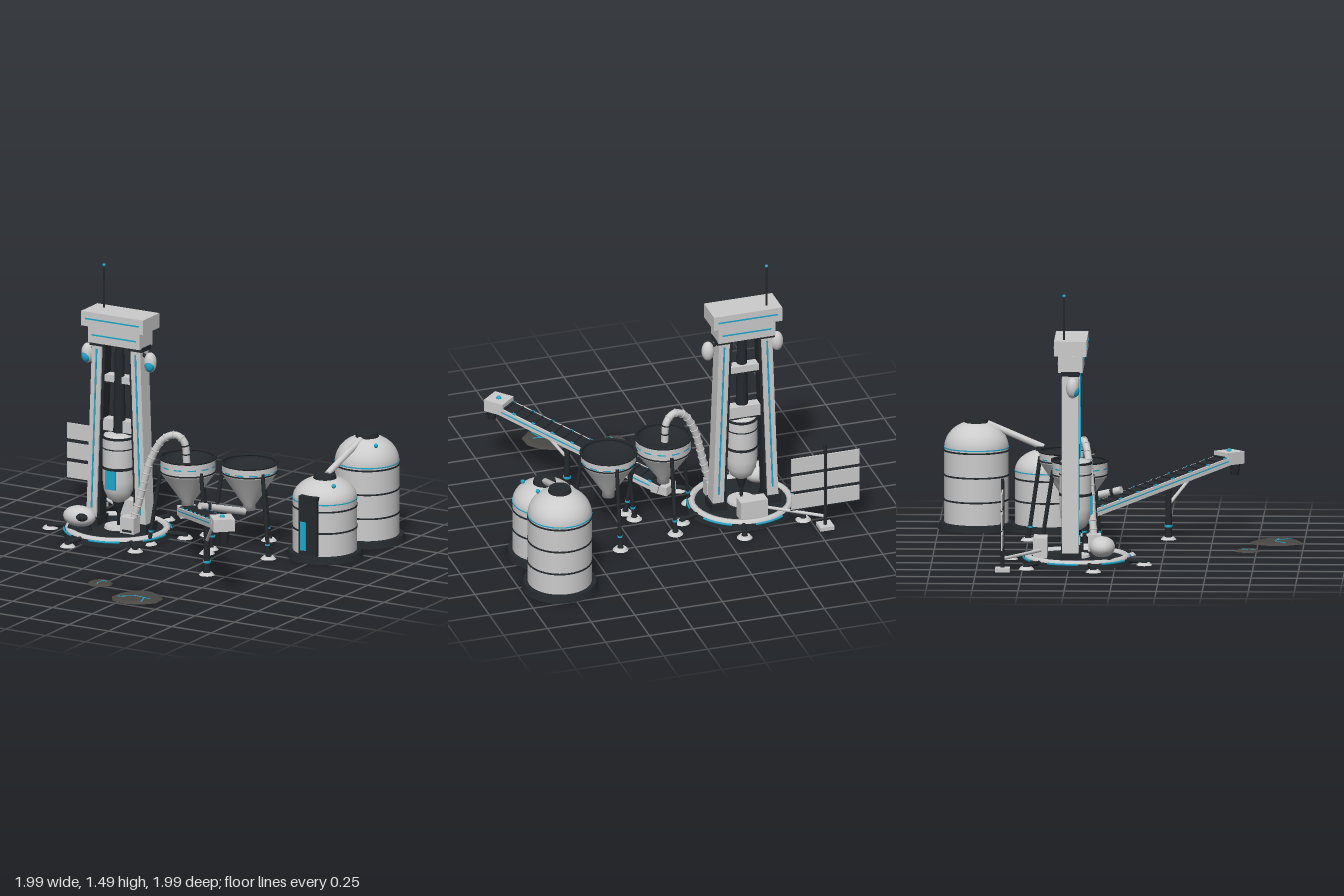
import * as THREE from 'three';

const mat = (color) => new THREE.MeshStandardMaterial({ color });
const light = mat(0xcccccc), dark = mat(0x24292d), cyan = mat(0x1fa8cc), rockMat = mat(0x4a4744);
rockMat.flatShading = true;
const V = (x, y, z) => new THREE.Vector3(x, y, z);

function add(parent, name, geo, m, x = 0, y = 0, z = 0) {
  const mesh = new THREE.Mesh(geo, m);
  mesh.name = name;
  mesh.position.set(x, y, z);
  parent.add(mesh);
  return mesh;
}
function group(parent, name, x = 0, y = 0, z = 0) {
  const g = new THREE.Group();
  g.name = name;
  g.position.set(x, y, z);
  parent.add(g);
  return g;
}
const box = (p, name, m, w, h, d, x, y, z) => add(p, name, new THREE.BoxGeometry(w, h, d), m, x, y, z);
const cyl = (p, name, m, rt, rb, h, x, y, z, n = 32) => add(p, name, new THREE.CylinderGeometry(rt, rb, h, n), m, x, y, z);
const ball = (p, name, m, r, x, y, z) => add(p, name, new THREE.SphereGeometry(r, 24, 16), m, x, y, z);
const lathe = (p, name, m, pts, x = 0, y = 0, z = 0) =>
  add(p, name, new THREE.LatheGeometry(pts.map((q) => new THREE.Vector2(...q)), 40), m, x, y, z);
// Straight rod between two points
function rod(p, name, m, a, b, r, r2 = r) {
  const d = b.clone().sub(a);
  const mesh = cyl(p, name, m, r2, r, d.length(), 0, 0, 0, 12);
  mesh.position.copy(a).addScaledVector(d, 0.5);
  mesh.quaternion.setFromUnitVectors(V(0, 1, 0), d.normalize());
  return mesh;
}
function foot(p, x, z) {
  cyl(p, 'footPad', light, 0.03, 0.043, 0.014, x, 0.007, z, 20);
  cyl(p, 'footJoint', dark, 0.014, 0.018, 0.016, x, 0.02, z, 12);
}

function rigBase(root) {
  const g = group(root, 'rigBase', -0.447, 0, -0.21);
  cyl(g, 'deck', dark, 0.29, 0.3, 0.03, 0, 0.015, 0, 48);
  lathe(g, 'deckRing', light, [[0.285, 0.022], [0.285, 0.038], [0.272, 0.048], [0.256, 0.046], [0.25, 0.03]]);
  for (let i = 0; i < 6; i++) {
    const a = THREE.MathUtils.degToRad(45 + i * 60), c = Math.cos(a), s = Math.sin(a);
    rod(g, 'footArm', dark, V(c * 0.28, 0.025, s * 0.28), V(c * 0.38, 0.02, s * 0.38), 0.013);
    foot(g, c * 0.38, s * 0.38);
    const strip = add(g, 'deckLight', new THREE.TorusGeometry(0.292, 0.006, 6, 12, 0.6), cyan, 0, 0.028, 0);
    strip.rotation.set(Math.PI / 2, 0, a + 0.22);
  }
  // Deck equipment
  box(g, 'controlBox', light, 0.155, 0.11, 0.075, 0, 0.085, -0.2);
  box(g, 'pumpBox', light, 0.085, 0.09, 0.07, 0.132, 0.09, 0.09);
  box(g, 'pumpPanel', dark, 0.06, 0.012, 0.072, 0.132, 0.06, 0.09);
  const pod = ball(g, 'storagePod', light, 1, -0.158, 0.108, 0.14);
  pod.scale.set(0.095, 0.057, 0.07);
  const port = ball(g, 'podPort', dark, 1, -0.115, 0.118, 0.19);
  port.scale.set(0.035, 0.022, 0.025);
  cyl(g, 'podStand', dark, 0.06, 0.07, 0.03, -0.158, 0.045, 0.14);
}

function tower(root) {
  const g = group(root, 'tower', -0.45, 0, -0.243);
  for (const s of [-1, 1]) {
    const leg = group(g, 'towerLeg', s * 0.139, 0.545, 0);
    leg.rotation.z = s * 0.036;
    box(leg, 'column', light, 0.062, 1.05, 0.09, 0, 0, 0);
    box(leg, 'innerRail', dark, 0.022, 1.04, 0.07, -s * 0.036, 0, 0);
    for (const f of [-1, 1]) box(leg, 'legLight', cyan, 0.009, 0.9, 0.004, 0, 0.03, f * 0.046);
    box(g, 'legCollar', dark, 0.09, 0.025, 0.1, s * 0.12, 1.055, 0);
    box(g, 'legShoe', dark, 0.09, 0.05, 0.12, s * 0.153, 0.05, 0);
    // Side pods
    rod(g, 'podBracket', dark, V(s * 0.12, 1.04, 0.01), V(s * 0.195, 1.0, 0.013), 0.01);
    ball(g, 'sidePod', light, 0.035, s * 0.197, 0.985, 0.013).scale.y = 1.6;
    ball(g, 'sidePodLight', cyan, 0.029, s * 0.199, 0.973, 0.022).scale.y = 1.35;
  }
  for (const [y, h, w] of [[0.862, 0.042, 0.21], [0.6, 0.07, 0.23]]) {
    box(g, 'crossBeam', light, w, h, 0.06, 0, y, 0);
    box(g, 'beamEdge', dark, w, 0.008, 0.064, 0, y - h / 2, 0);
  }
  box(g, 'lowerHead', light, 0.325, 0.09, 0.135, 0, 1.107, 0);
  box(g, 'headGap', dark, 0.3, 0.015, 0.12, 0, 1.153, 0);
  box(g, 'upperHead', light, 0.39, 0.082, 0.176, 0, 1.198, 0);
  for (const f of [-1, 1]) {
    box(g, 'lowerHeadLight', cyan, 0.28, 0.008, 0.004, 0, 1.107, f * 0.068);
    box(g, 'upperHeadLight', cyan, 0.34, 0.008, 0.004, 0, 1.2, f * 0.0885);
  }
  cyl(g, 'antenna', dark, 0.005, 0.006, 0.24, -0.122, 1.355, -0.035, 10);
  ball(g, 'antennaTip', cyan, 0.009, -0.122, 1.478, -0.035);
}

function drill(root) {
  const g = group(root, 'drill', -0.447, 0, -0.22);
  lathe(g, 'drillBody', light, [[0, 0.175], [0.03, 0.178], [0.06, 0.2], [0.08, 0.245], [0.087, 0.3], [0.087, 0.54], [0.078, 0.558], [0.05, 0.566], [0, 0.566]]);
  for (const [y, h] of [[0.375, 0.015], [0.485, 0.006], [0.545, 0.012]]) cyl(g, 'drillBand', dark, 0.089, 0.089, h, 0, y, 0, 40);
  box(g, 'drillWindow', cyan, 0.062, 0.105, 0.012, 0, 0.315, 0.085);
  cyl(g, 'drillChuck', dark, 0.034, 0.012, 0.065, 0, 0.147, 0, 16);
  cyl(g, 'drillShaft', dark, 0.01, 0.007, 0.1, 0, 0.07, 0, 12);
  cyl(g, 'boreCollar', light, 0.075, 0.08, 0.02, 0, 0.035, 0);
  cyl(g, 'drillHanger', dark, 0.025, 0.035, 0.5, 0, 0.81, -0.01, 16);
}

function hopper(root, x, z, wall, bottom) {
  const g = group(root, 'hopper', x, 0, z);
  lathe(g, 'hopperBin', light, [[0, bottom - 0.03], [0.034, bottom - 0.03], [0.034, bottom], [0.148, wall], [0.15, wall + 0.008], [0.15, 0.49]]);
  const rim = add(g, 'hopperRim', new THREE.TorusGeometry(0.15, 0.008, 8, 48), dark, 0, 0.493, 0);
  rim.rotation.x = Math.PI / 2;
  const lining = lathe(g, 'hopperLining', dark, [[0, 0.445], [0.1, 0.45], [0.143, 0.47], [0.146, 0.495]]);
  lining.material = dark.clone();
  lining.material.side = THREE.DoubleSide;
  cyl(g, 'hopperBand', dark, 0.152, 0.152, 0.008, 0, wall + 0.012, 0, 40);
  for (let i = 0; i < 12; i++) {
    const strip = add(g, 'hopperLight', new THREE.CylinderGeometry(0.152, 0.152, 0.007, 6, 1, true, i * Math.PI / 6, 0.3), cyan, 0, 0.453, 0);
    strip.name = 'hopperLight';
  }
  for (const deg of [30, 150, 270]) {
    const a = THREE.MathUtils.degToRad(deg), c = Math.cos(a), s = Math.sin(a);
    rod(g, 'hopperLeg', dark, V(c * 0.21, 0.01, s * 0.21), V(c * 0.145, wall + 0.03, s * 0.145), 0.011);
    rod(g, 'legSleeve', cyan, V(c * 0.2, 0.07, s * 0.2), V(c * 0.199, 0.08, s * 0.199), 0.014);
    foot(g, c * 0.21, s * 0.21);
  }
  return g;
}

function conveyor(root) {
  const tail = V(-0.005, 0.19, -0.21), head = V(0.675, 0.405, 0.58);
  const len = tail.distanceTo(head), yaw = Math.atan2(0.68, 0.79);
  const g = group(root, 'conveyor');
  const c = group(g, 'conveyorBed', tail.x, tail.y, tail.z);
  c.lookAt(head);
  box(c, 'belt', dark, 0.098, 0.03, len, 0, 0.008, len / 2);
  box(c, 'bedUnderside', light, 0.07, 0.012, len, 0, -0.014, len / 2);
  for (const s of [-1, 1]) {
    box(c, 'sideRail', light, 0.013, 0.042, len, s * 0.054, 0, len / 2);
    box(c, 'railLight', cyan, 0.003, 0.006, len * 0.9, s * 0.062, 0.004, len / 2);
  }
  for (let i = 1; i < 17; i++) {
    box(c, 'beltCleat', dark, 0.09, 0.008, 0.012, 0, 0.026, i * len / 17);
    box(c, 'railMarker', cyan, 0.012, 0.006, 0.02, (i % 2 ? 1 : -1) * 0.05, 0.024, i * len / 17);
  }
  box(g, 'tailBox', light, 0.1, 0.05, 0.1, tail.x, 0.185, tail.z).rotation.y = yaw;
  box(g, 'headBox', light, 0.118, 0.068, 0.118, head.x, 0.41, head.z).rotation.y = yaw;
  cyl(g, 'headSpout', dark, 0.03, 0.022, 0.066, head.x + 0.03, 0.343, head.z + 0.03, 16);
  ball(g, 'headLamp', cyan, 0.014, head.x, 0.445, head.z);
  // Support leg and brace
  const sx = 0.39, sz = 0.26;
  rod(g, 'supportLeg', dark, V(sx, 0.01, sz), V(sx, 0.3, sz), 0.02, 0.014);
  cyl(g, 'supportLight', cyan, 0.022, 0.022, 0.012, sx, 0.075, sz, 16);
  rod(g, 'supportBrace', light, V(sx, 0.19, sz), V(0.51, 0.34, 0.39), 0.009);
  foot(g, sx, sz);
}

function tank(root, name, x, z, shoulder, top, bands) {
  const g = group(root, name, x, 0, z), R = 0.175, pts = [[R, 0.03]];
  for (let i = 0; i <= 12; i++) {
    const a = i / 12 * Math.PI / 2;
    pts.push([R * Math.cos(a), shoulder + (top - 0.01 - shoulder) * Math.sin(a)]);
  }
  lathe(g, 'tankShell', light, pts);
  cyl(g, 'tankPlinth', dark, 0.2, 0.21, 0.036, 0, 0.018, 0, 40);
  cyl(g, 'tankCap', dark, 0.058, 0.065, 0.026, 0, top - 0.01, 0);
  for (const y of bands) cyl(g, 'tankBand', dark, R + 0.003, R + 0.003, 0.009, 0, y, 0, 40);
  cyl(g, 'tankLight', cyan, R + 0.002, R + 0.002, 0.006, 0, shoulder, 0, 40);
  ball(g, 'tankLamp', cyan, 0.012, 0.1, shoulder + (top - shoulder) * 0.73, 0.075);
  return g;
}

function solarMast(root) {
  const g = group(root, 'solarMast', -0.8, 0, -0.605);
  box(g, 'mastFoot', light, 0.08, 0.022, 0.08, 0, 0.011, 0);
  cyl(g, 'mast', dark, 0.009, 0.011, 0.5, 0, 0.26, 0, 12);
  for (const y of [0.185, 0.295, 0.405]) {
    box(g, 'solarPanel', light, 0.39, 0.09, 0.008, 0, y, 0);
    box(g, 'panelFrame', dark, 0.396, 0.006, 0.01, 0, y - 0.046, 0);
  }
  rod(g, 'cable', light, V(0, 0.07, 0), V(0.3, 0.075, 0.21), 0.009);
}

// Flat faceted rock with glowing veins
function rock(root, x, z, r, sides, veins) {
  const g = group(root, 'rock', x, 0, z);
  const geo = new THREE.CylinderGeometry(r * 0.8, r, 0.009, sides, 1);
  const p = geo.attributes.position;
  for (let i = 0; i < p.count; i++) {
    const a = Math.atan2(p.getZ(i), p.getX(i)), k = 0.96 + 0.045 * Math.sin(a * 3 + 1);
    p.setXYZ(i, p.getX(i) * k, p.getY(i), p.getZ(i) * k);
  }
  geo.computeVertexNormals();
  add(g, 'rockBody', geo, rockMat, 0, 0.0045, 0);
  for (const [vx, vz, l, a] of veins) box(g, 'vein', cyan, l * r, 0.003, 0.007, vx * r, 0.009, vz * r).rotation.y = a;
}

export function createModel() {
  const root = new THREE.Group();
  root.name = 'miningOutpost';
  rigBase(root);
  tower(root);
  drill(root);
  hopper(root, -0.005, -0.21, 0.405, 0.245);
  hopper(root, 0.335, -0.29, 0.43, 0.255);
  conveyor(root);
  rod(root, 'feedChute', light, V(0.32, 0.22, -0.26), V(0.2, 0.3, 0.01), 0.02);
  rod(root, 'feedChuteEnd', dark, V(0.225, 0.283, -0.045), V(0.218, 0.288, -0.03), 0.024);

  // Ribbed transfer hose from pump to hopper
  const path = new THREE.CatmullRomCurve3([V(-0.3, 0.11, -0.125), V(-0.26, 0.25, -0.135), V(-0.205, 0.46, -0.15),
    V(-0.135, 0.585, -0.17), V(-0.07, 0.612, -0.19), V(-0.025, 0.575, -0.205), V(-0.012, 0.46, -0.21)]);
  add(root, 'hose', new THREE.TubeGeometry(path, 48, 0.02, 12), light);
  for (let i = 1; i < 16; i++) {
    const t = i / 16;
    const rib = add(root, 'hoseRib', new THREE.TorusGeometry(0.02, 0.004, 6, 16), i > 13 ? dark : light);
    rib.position.copy(path.getPointAt(t));
    rib.lookAt(path.getPointAt(t).add(path.getTangentAt(t)));
  }

  // Storage tanks with door and link pipe
  const front = tank(root, 'frontTank', 0.74, -0.41, 0.325, 0.452, [0.165, 0.285]);
  box(front, 'doorFrame', dark, 0.112, 0.33, 0.05, 0, 0.205, 0.162);
  box(front, 'doorLight', cyan, 0.035, 0.16, 0.006, -0.028, 0.145, 0.188);
  tank(root, 'rearTank', 0.78, -0.795, 0.445, 0.6, [0.16, 0.295, 0.43]);
  rod(root, 'linkPipe', light, V(0.743, 0.45, -0.43), V(0.776, 0.575, -0.735), 0.018);

  solarMast(root);
  rock(root, 0.3, 0.85, 0.148, 10, [[-0.25, 0.1, 0.6, 0.6], [0.1, 0, 0.5, -0.15], [0.4, 0.3, 0.55, 1.9], [0.4, 0.05, 0.4, -0.1], [-0.5, 0.3, 0.3, 0.3]]);
  rock(root, -0.02, 0.705, 0.075, 9, [[0, -0.25, 0.45, 1.2], [0.15, -0.35, 0.4, 0.2], [0, 0.35, 0.4, 1.9]]);
  return root;
}
